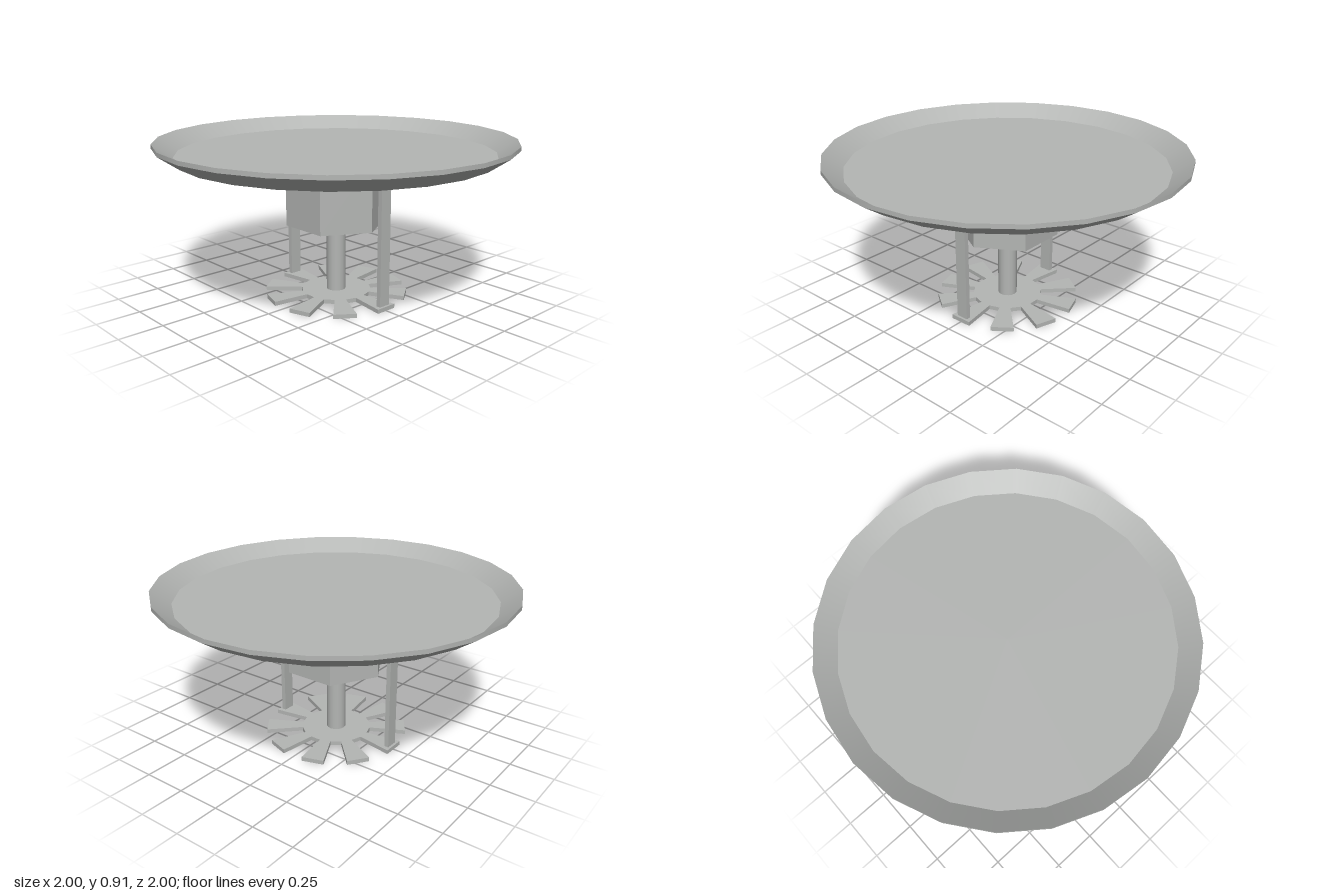
import * as THREE from 'three';
import { mergeGeometries } from 'three/addons/utils/BufferGeometryUtils.js';

export function createModel() {
  const model = new THREE.Group();
  const metal = new THREE.MeshStandardMaterial({ color: 0xb4b6b4 });
  metal.name = 'grey metal';

  function add(name, geometry, x = 0, y = 0, z = 0) {
    const mesh = new THREE.Mesh(geometry, metal);
    mesh.name = name;
    mesh.position.set(x, y, z);
    model.add(mesh);
    return mesh;
  }

  // Ceiling dish: smooth around, sharp between profile segments
  const profile = [[0, 0.81], [0.89, 0.81], [1, 0.885], [1, 0.908], [0.89, 0.833], [0, 0.833]]
    .map(([r, y]) => new THREE.Vector2(r, y));
  const bands = profile.slice(1).map((p, i) => new THREE.LatheGeometry([profile[i], p], 24));
  add('dish', mergeGeometries(bands));

  // Hexagonal body with flat sides, corners on the x axis
  const hex = new THREE.CylinderGeometry(0.287, 0.287, 0.395, 6, 1, false, Math.PI / 2).toNonIndexed();
  hex.computeVertexNormals();
  add('hexBody', hex, 0, 0.6175, 0);

  // Central stem
  add('stem', new THREE.CylinderGeometry(0.055, 0.055, 0.4, 16), 0, 0.222, 0);

  // Two flat frame arms
  for (const side of [1, -1]) {
    add(side > 0 ? 'leftArm' : 'rightArm', new THREE.BoxGeometry(0.026, 0.79, 0.07), side * 0.378, 0.417, 0);
  }

  // Deflector: ten radial teeth around a hub, one tooth under each arm
  const shape = new THREE.Shape();
  const teeth = 10, outer = 0.41, inner = 0.2, half = Math.PI / 20;
  for (let i = 0; i < teeth; i++) {
    const a = i * 4 * half;
    [[inner, -half], [outer, -half], [outer, half], [inner, half]].forEach(([r, d], j) => {
      const x = r * Math.cos(a + d), y = r * Math.sin(a + d);
      if (i + j === 0) shape.moveTo(x, y);
      else shape.lineTo(x, y);
    });
  }
  shape.closePath();
  const plate = new THREE.ExtrudeGeometry(shape, { depth: 0.024, bevelEnabled: false });
  plate.rotateX(-Math.PI / 2);
  add('deflector', plate);

  return model;
}
